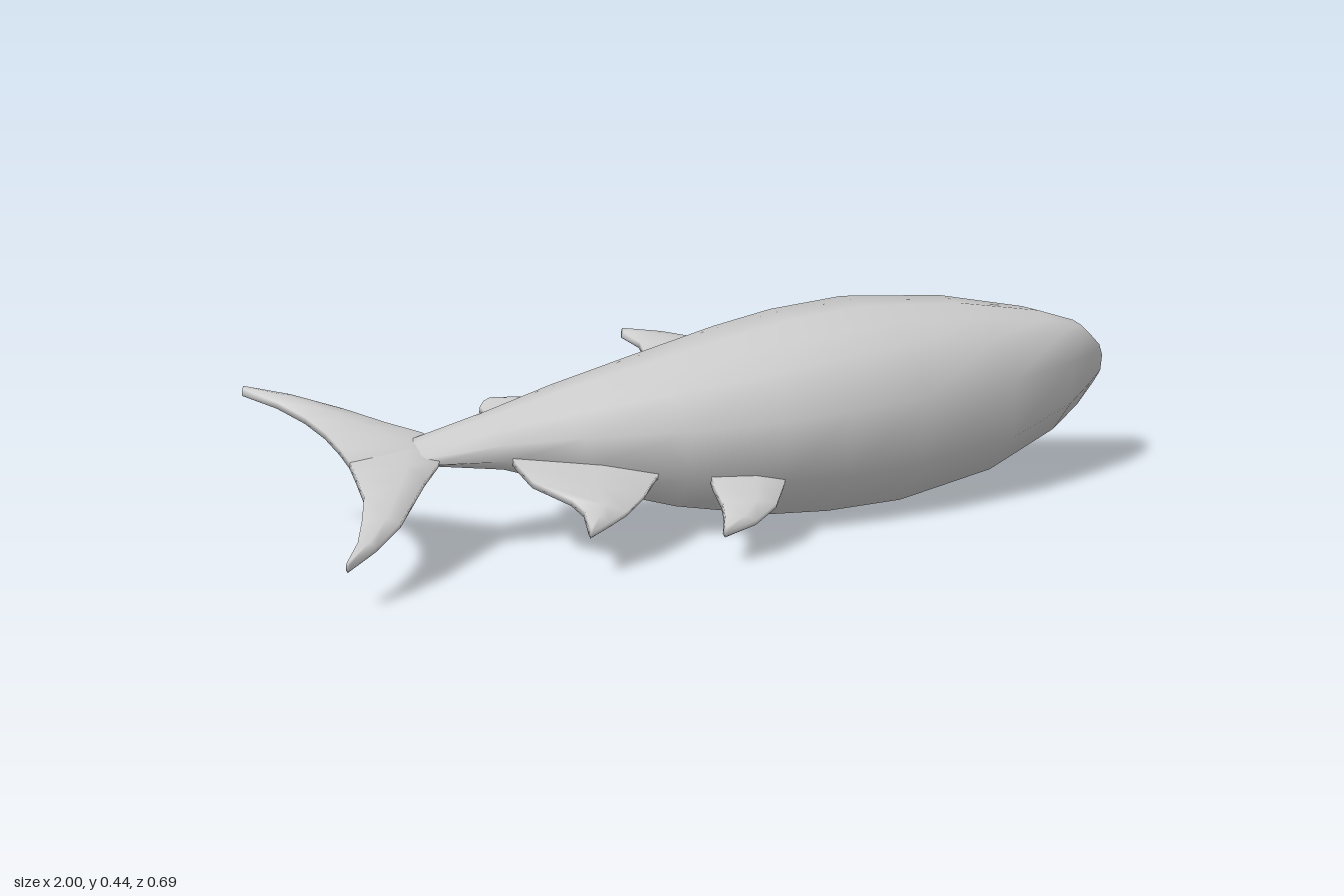
import * as THREE from 'three';

const material = new THREE.MeshStandardMaterial({ color: 0xcccccc, side: THREE.DoubleSide });

// Skin a list of closed cross-sections and cap both ends
function loft(name, rings) {
  const n = rings[0].length, index = [];
  const points = rings.flat();
  for (let i = 0; i < rings.length - 1; i++) {
    for (let j = 0; j < n; j++) {
      const a = i * n + j, b = i * n + (j + 1) % n;
      index.push(a, b, a + n, b, b + n, a + n);
    }
  }
  [0, rings.length - 1].forEach((row, end) => {
    const centre = rings[row].reduce((s, p) => s.add(p), new THREE.Vector3()).divideScalar(n);
    const c = points.push(centre) - 1;
    for (let j = 0; j < n; j++) {
      const a = row * n + j, b = row * n + (j + 1) % n;
      index.push(c, end ? a : b, end ? b : a);
    }
  });
  const geometry = new THREE.BufferGeometry().setFromPoints(points);
  geometry.setIndex(index);
  geometry.computeVertexNormals();
  const mesh = new THREE.Mesh(geometry, material);
  mesh.name = name;
  return mesh;
}

// Fin rows: leading x, leading y, trailing x, trailing y, from root to tip
const FIN_SECTION = [[0, 0.5], [0.4, 1], [1, 0.6], [1, -0.6], [0.4, -1], [0, -0.5]];
function fin(name, rows, half = 0.013) {
  const side = rows.at(-1)[1] > rows[0][1] ? -1 : 1;
  return loft(name, rows.map(([lx, ly, tx, ty]) => FIN_SECTION.map(([t, w]) =>
    new THREE.Vector3(lx + (tx - lx) * t, ly + (ty - ly) * t, side * w * half))));
}

function makeBody() {
  // Half of the twelve-sided section, from back to belly
  const half = [[0.98, 0], [0.77, 0.77], [0.36, 0.95], [0, 1], [-0.38, 1], [-0.82, 0.69], [-1.04, 0]];
  const section = [...half, ...half.slice(1, -1).reverse().map(([y, z]) => [y, -z])];
  // Stations: x, centre height, half height, half width
  const stations = [
    [-0.72, 0.035, 0.045, 0.012], [-0.55, 0.038, 0.075, 0.045],
    [-0.4, 0.02, 0.12, 0.09], [-0.2, -0.005, 0.177, 0.14],
    [0, -0.012, 0.225, 0.175], [0.15, -0.006, 0.243, 0.192],
    [0.34, 0, 0.248, 0.2], [0.6, 0.007, 0.215, 0.178],
    [0.82, 0.02, 0.142, 0.138], [0.92, 0.025, 0.085, 0.107],
    [0.98, 0.025, 0.045, 0.055], [0.998, 0.025, 0.018, 0.018],
  ];
  return loft('body', stations.map(([x, c, h, w]) =>
    section.map(([y, z]) => new THREE.Vector3(x, c + y * h, z * w))));
}

export function createModel() {
  const model = new THREE.Group();
  model.name = 'fish';

  // Fish upright along x, then rolled onto its side
  const fish = new THREE.Group();
  fish.name = 'rolledFish';
  fish.add(makeBody());

  fish.add(fin('dorsalFin', [
    [0.18, 0.18, -0.14, 0.16], [0.12, 0.255, -0.125, 0.215], [0.05, 0.305, -0.1, 0.265],
    [-0.02, 0.345, -0.092, 0.31], [-0.11, 0.372, -0.113, 0.36]]));
  fish.add(fin('rearDorsalFin', [
    [-0.33, 0.12, -0.52, 0.08], [-0.36, 0.155, -0.535, 0.125],
    [-0.42, 0.165, -0.54, 0.15], [-0.5, 0.172, -0.525, 0.168]]));
  fish.add(fin('bellyFin', [
    [0.02, -0.2, -0.15, -0.17], [-0.01, -0.25, -0.165, -0.22], [-0.06, -0.31, -0.175, -0.285],
    [-0.13, -0.352, -0.19, -0.325], [-0.205, -0.37, -0.21, -0.36]]));
  fish.add(fin('analFin', [
    [-0.2, -0.12, -0.54, -0.01], [-0.27, -0.165, -0.54, -0.06], [-0.32, -0.215, -0.53, -0.125],
    [-0.38, -0.26, -0.475, -0.2], [-0.43, -0.285, -0.465, -0.24], [-0.475, -0.305, -0.478, -0.295]]));

  // Forked tail: two lobes sharing one root row
  const root = [-0.66, 0.035, -0.865, 0.022];
  fish.add(fin('upperTailLobe', [root,
    [-0.69, 0.09, -0.87, 0.07], [-0.75, 0.14, -0.882, 0.13], [-0.82, 0.207, -0.905, 0.19],
    [-0.91, 0.28, -0.945, 0.255], [-0.995, 0.322, -1, 0.318]]));
  fish.add(fin('lowerTailLobe', [root,
    [-0.69, -0.015, -0.868, -0.03], [-0.74, -0.07, -0.873, -0.09], [-0.83, -0.185, -0.9, -0.16],
    [-0.9, -0.245, -0.93, -0.225], [-0.965, -0.285, -0.97, -0.28]]));

  fish.rotation.set(-1.17, -0.022, 0);
  fish.position.y = 0.222;
  model.add(fish);
  return model;
}
